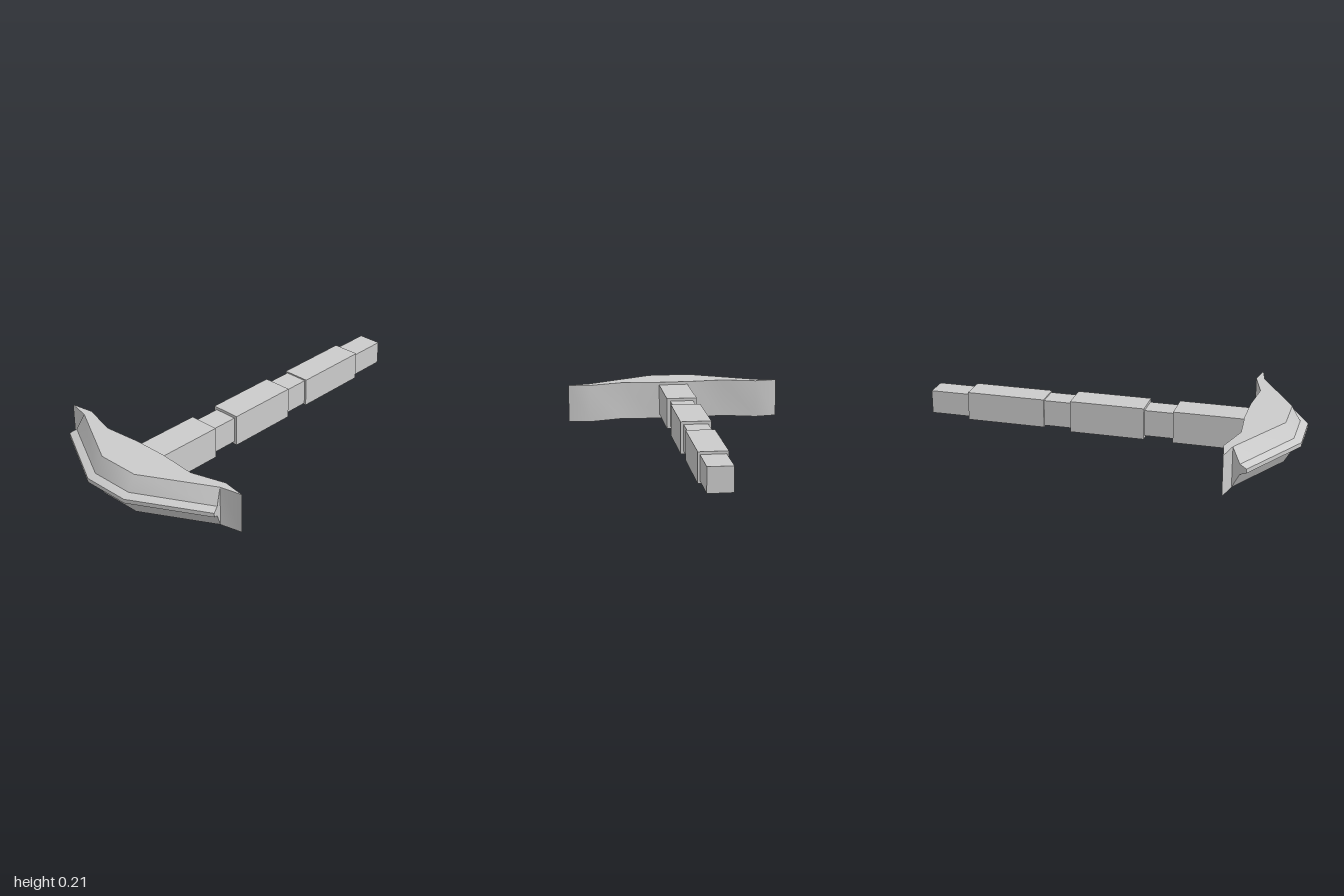
import * as THREE from 'three';
import { toCreasedNormals } from 'three/addons/utils/BufferGeometryUtils.js';

const CREASE = 0.55;
const HEIGHT = 0.212;

export function createModel() {
  const group = new THREE.Group();
  const material = new THREE.MeshStandardMaterial({ color: 0xcccccc });
  const add = (name, geometry) => {
    const mesh = new THREE.Mesh(geometry, material);
    mesh.name = name;
    group.add(mesh);
    return mesh;
  };

  // Stepped handle: [front z, back z, width, height]
  const handle = [
    [0.72, 0.335, 0.165, 0.17],
    [0.335, 0.18, 0.126, 0.14],
    [0.18, -0.217, 0.158, 0.17],
    [-0.217, -0.365, 0.126, 0.14],
    [-0.365, -0.788, 0.147, 0.154],
    [-0.788, -1, 0.126, 0.126],
  ];
  handle.forEach(([front, back, width, height], i) => {
    const part = add(`handleSegment${i + 1}`, new THREE.BoxGeometry(width, height, front - back));
    part.position.set(-0.003, 0.111, (front + back) / 2);
  });

  // Head body: half outline in plan (x, z), mirrored and extruded upwards
  const half = [[0.115, 0.915], [0.485, 0.715], [0.602, 0.69], [0.48, 0.67], [0.297, 0.722], [0.09, 0.704]];
  const outline = [...half, ...half.map(([x, z]) => [-x, z]).reverse()];
  const shape = new THREE.Shape(outline.map(([x, z]) => new THREE.Vector2(x, -z)));
  const body = new THREE.ExtrudeGeometry(shape, { depth: HEIGHT, bevelEnabled: false });
  body.rotateX(-Math.PI / 2);
  add('headBody', toCreasedNormals(body, CREASE));

  // Cutting edge: rows from top to bottom [y, centre x, centre z, end x, end z]
  const rows = [
    [HEIGHT, 0.115, 0.915, 0.485, 0.715],
    [0.134, 0.12, 0.96, 0.505, 0.755],
    [0.119, 0.13, 1, 0.52, 0.79],
    [0.097, 0.13, 1, 0.52, 0.79],
    [0.08, 0.12, 0.96, 0.505, 0.755],
    [0, 0.115, 0.915, 0.485, 0.715],
  ];
  const positions = [];
  for (const [y, cx, cz, ex, ez] of rows) {
    positions.push(-ex, y, ez, -cx, y, cz, cx, y, cz, ex, y, ez);
  }
  const index = [];
  const quad = (a, b, c, d) => index.push(a, b, c, a, c, d);
  for (let r = 0; r < rows.length - 1; r++) {
    for (let c = 0; c < 3; c++) {
      const a = r * 4 + c;
      quad(a, a + 4, a + 5, a + 1);
    }
  }
  // End caps of the cutting edge
  for (const [a, b, c, d] of [[0, 1, 4, 5], [1, 2, 3, 4]]) {
    quad(a * 4 + 3, b * 4 + 3, c * 4 + 3, d * 4 + 3);
    quad(d * 4, c * 4, b * 4, a * 4);
  }
  const edge = new THREE.BufferGeometry();
  edge.setAttribute('position', new THREE.Float32BufferAttribute(positions, 3));
  edge.setIndex(index);
  add('cuttingEdge', toCreasedNormals(edge, CREASE));

  return group;
}
